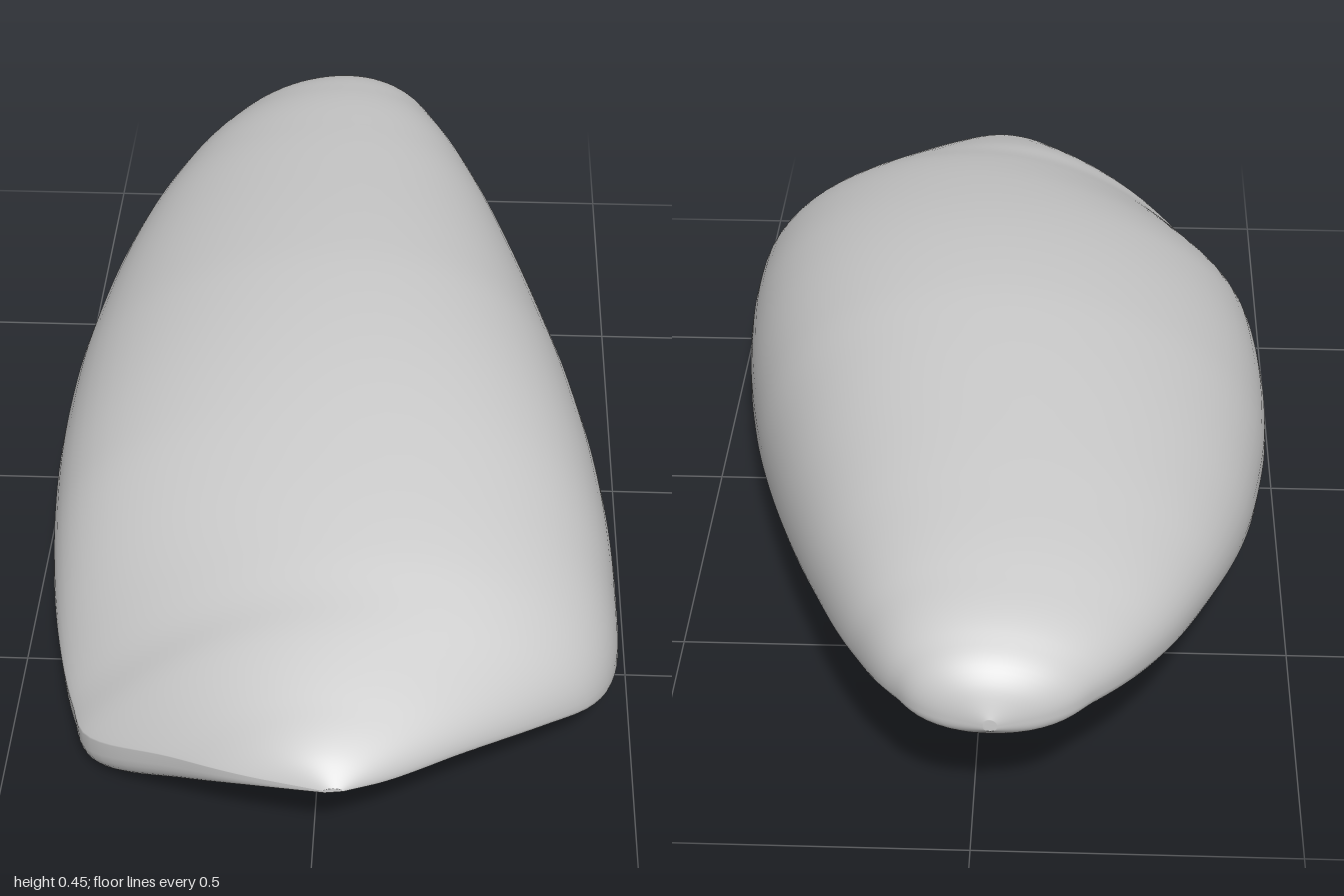
import * as THREE from 'three';

// Cross-sections along z:
// z, left x, left y, right x, right y, crown y, underside y at left, middle and right
const SECTIONS = [
  [-1, -0.04, 0.24, -0.02, 0.24, 0.25, 0.23, 0.23, 0.23],
  [-0.98, -0.11, 0.245, 0.05, 0.245, 0.295, 0.21, 0.21, 0.21],
  [-0.92, -0.19, 0.25, 0.12, 0.245, 0.343, 0.2, 0.195, 0.2],
  [-0.8, -0.28, 0.24, 0.19, 0.225, 0.38, 0.175, 0.18, 0.185],
  [-0.6, -0.37, 0.215, 0.27, 0.195, 0.41, 0.145, 0.155, 0.16],
  [-0.4, -0.43, 0.18, 0.335, 0.16, 0.43, 0.115, 0.13, 0.13],
  [-0.2, -0.465, 0.155, 0.39, 0.13, 0.445, 0.07, 0.06, 0.095],
  [-0.05, -0.48, 0.14, 0.425, 0.12, 0.45, 0.04, 0.035, 0.08],
  [0.2, -0.48, 0.13, 0.465, 0.115, 0.435, 0.015, 0.045, 0.075],
  [0.45, -0.455, 0.11, 0.48, 0.11, 0.395, -0.005, 0.055, 0.065],
  [0.62, -0.42, 0.09, 0.47, 0.1, 0.355, -0.02, 0.075, 0.08],
  [0.7, -0.395, 0.08, 0.43, 0.115, 0.33, -0.025, 0.09, 0.1],
  [0.77, -0.365, 0.08, 0.36, 0.14, 0.31, -0.005, 0.105, 0.125],
  [0.88, -0.22, 0.145, 0.225, 0.175, 0.27, 0.085, 0.15, 0.16],
  [0.96, -0.09, 0.185, 0.115, 0.19, 0.235, 0.16, 0.18, 0.18],
  [1, 0.02, 0.2, 0.05, 0.2, 0.205, 0.195, 0.2, 0.2],
];

// Point on a section: a dome leaning slightly right above the rim, a flatter underside below it.
// Towards the front the dome thins to a sharp edge, most of all on its left.
function sectionPoint([xl, yl, xr, yr, top, bl, bm, br], angle, z) {
  const u = Math.cos(angle), s = Math.sin(angle);
  const x = THREE.MathUtils.lerp(xl, xr, (u + 1) / 2);
  const rim = THREE.MathUtils.lerp(yl, yr, (u + 1) / 2);
  if (s >= 0) {
    const power = 1 + THREE.MathUtils.smoothstep(z, 0.3, 0.85) * (0.5 - 0.35 * u);
    return [x + 0.05 * (xr - xl) * s * s, rim + (top - rim) * Math.pow(s, power)];
  }
  const k = u / 0.8;
  const under = bm + (br - bl) / 2 * k + ((br + bl) / 2 - bm) * k * k;
  return [x, Math.max(0, rim + (under - rim) * Math.pow(-s, 0.6))];
}

function stoneGeometry(rows = 120, sides = 72) {
  const spline = new THREE.CubicInterpolant(
    SECTIONS.map((r) => r[0]), SECTIONS.flatMap((r) => r.slice(1)), 8);
  const positions = [], index = [];
  for (let j = 0; j <= rows; j++) {
    // Rows crowd towards both tips
    const z = -Math.cos((j / rows) * Math.PI);
    const section = Array.from(spline.evaluate(z));
    for (let i = 0; i < sides; i++) {
      positions.push(...sectionPoint(section, (i / sides) * Math.PI * 2, z), z);
    }
  }
  for (let j = 0; j < rows; j++) {
    for (let i = 0; i < sides; i++) {
      const n = (i + 1) % sides;
      const a = j * sides + i, b = j * sides + n;
      index.push(a, b, a + sides, b, b + sides, a + sides);
    }
  }
  // Close the small openings at the tips
  const last = rows * sides;
  for (let i = 1; i < sides - 1; i++) {
    index.push(0, i + 1, i, last, last + i, last + i + 1);
  }
  const geometry = new THREE.BufferGeometry();
  geometry.setAttribute('position', new THREE.Float32BufferAttribute(positions, 3));
  geometry.setIndex(index);
  geometry.computeVertexNormals();
  return geometry;
}

export function createModel() {
  const group = new THREE.Group();
  group.name = 'stoneTool';
  const stone = new THREE.Mesh(stoneGeometry(), new THREE.MeshStandardMaterial({ color: 0xcccccc }));
  stone.name = 'stoneBody';
  group.add(stone);
  return group;
}
